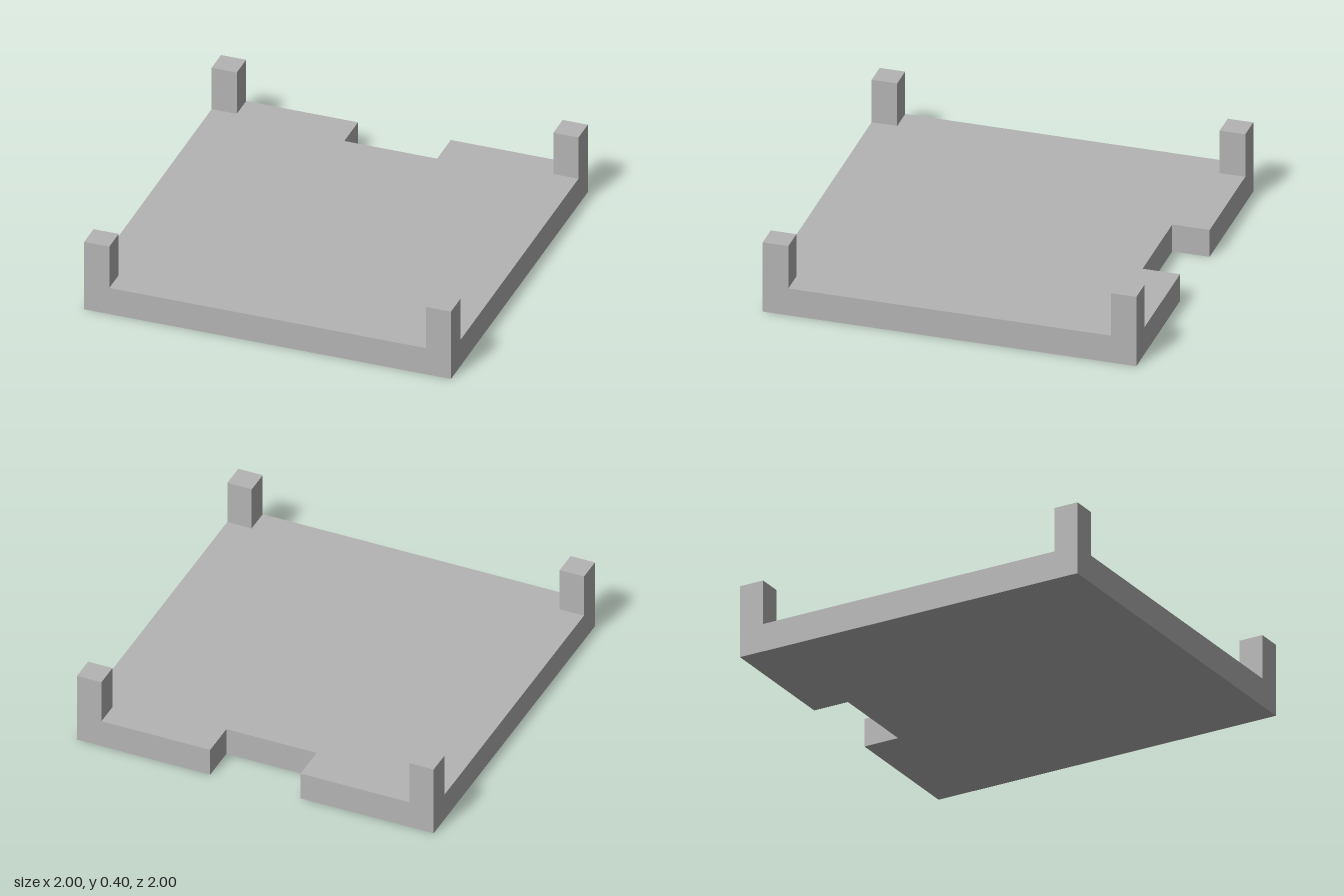
import * as THREE from 'three';

const SLAB_H = 0.155, POST_H = 0.4, POST_W = 0.137;
const NOTCH_HALF = 0.253, NOTCH_DEPTH = 0.2;

export function createModel() {
  const model = new THREE.Group();
  model.name = 'notchedTray';
  const grey = new THREE.MeshStandardMaterial({ color: 0xb4b4b4 });
  grey.name = 'grey';

  // Square slab with a rectangular notch in the back edge
  const outline = new THREE.Shape([
    [-1, -1], [1, -1], [1, 1], [NOTCH_HALF, 1], [NOTCH_HALF, 1 - NOTCH_DEPTH],
    [-NOTCH_HALF, 1 - NOTCH_DEPTH], [-NOTCH_HALF, 1], [-1, 1],
  ].map(([x, y]) => new THREE.Vector2(x, y)));
  const slabGeometry = new THREE.ExtrudeGeometry(outline, { depth: SLAB_H, bevelEnabled: false });
  slabGeometry.rotateX(-Math.PI / 2);
  const slab = new THREE.Mesh(slabGeometry, grey);
  slab.name = 'baseSlab';
  model.add(slab);

  // Square post standing on each corner
  const postGeometry = new THREE.BoxGeometry(POST_W, POST_H - SLAB_H, POST_W);
  for (const sx of [-1, 1]) {
    for (const sz of [-1, 1]) {
      const post = new THREE.Mesh(postGeometry, grey);
      post.name = (sz > 0 ? 'front' : 'back') + (sx > 0 ? 'Left' : 'Right') + 'Post';
      post.position.set(sx * (1 - POST_W / 2), (POST_H + SLAB_H) / 2, sz * (1 - POST_W / 2));
      model.add(post);
    }
  }
  return model;
}
